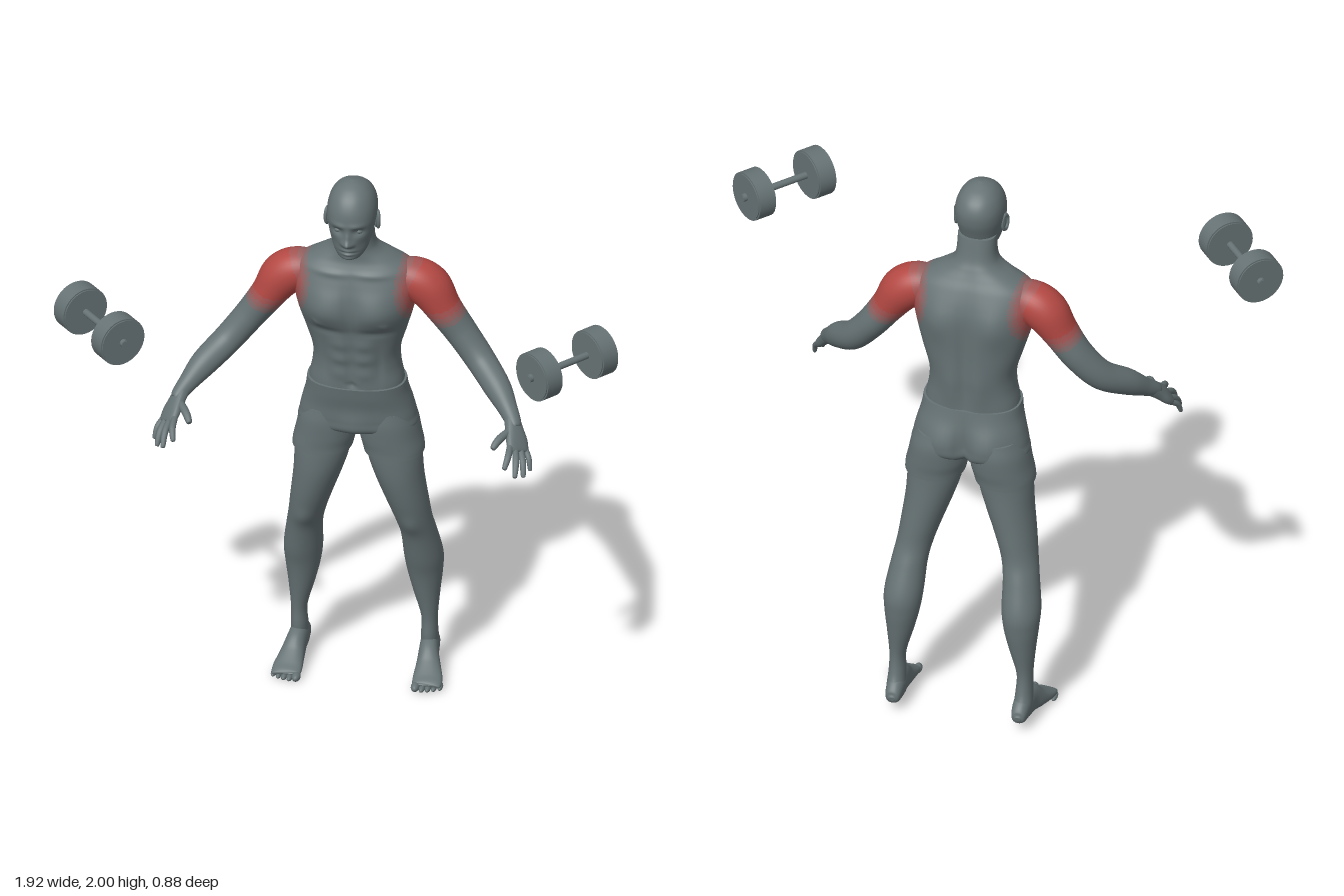
import * as THREE from 'three';

const V = (x, y, z) => new THREE.Vector3(x, y, z);
const BODY = 0x667274, RED = 0xb34843;
const paint = (name, t) => {
  const m = new THREE.MeshStandardMaterial({ color: new THREE.Color(BODY).lerp(new THREE.Color(RED), t).getHex() });
  m.name = name;
  return m;
};
const skin = paint('slate grey', 0);
// strongest red first, plain grey last
const tints = [paint('muscle red', 1), paint('soft red', 0.75), paint('dull red', 0.5), paint('faint red', 0.25), skin];

// Skin through rows [x, y, z, a, b]: a is the radius along ref, b the radius across it
function loft(rows, { n = 32, steps = 6, ref = V(0, 0, 1), flat = false, power = 2, mold } = {}) {
  const path = new THREE.CatmullRomCurve3(rows.map(r => V(r[0], r[1], r[2])), false, 'catmullrom', 0.5);
  const radii = new THREE.CatmullRomCurve3(rows.map(r => V(r[3], r[4], 0)), false, 'catmullrom', 0.5);
  const count = (rows.length - 1) * steps, pos = [], idx = [];
  const bend = c => Math.sign(c) * Math.abs(c) ** (2 / power);
  const up = V(0, Math.sign(rows[rows.length - 1][1] - rows[0][1]), 0);
  for (let i = 0; i <= count; i++) {
    const p = path.getPoint(i / count), r = radii.getPoint(i / count);
    const t = flat ? up : path.getTangent(i / count);
    const u = ref.clone().addScaledVector(t, -ref.dot(t)).normalize();
    const v = t.clone().cross(u);
    for (let j = 0; j < n; j++) {
      const a = j / n * Math.PI * 2;
      const q = p.clone().addScaledVector(u, r.x * bend(Math.cos(a))).addScaledVector(v, r.y * bend(Math.sin(a)));
      if (mold) mold(q, p, r);
      pos.push(q.x, q.y, q.z);
      if (i < count) {
        const A = i * n + j, B = i * n + (j + 1) % n;
        idx.push(A, B, A + n, B, B + n, A + n);
      }
    }
  }
  // separate cap rings keep the ends crisp
  for (const [ring, end] of [[0, false], [count, true]]) {
    const start = pos.length / 3, c = path.getPoint(end ? 1 : 0);
    for (let k = 0; k < n * 3; k++) pos.push(pos[ring * n * 3 + k]);
    pos.push(c.x, c.y, c.z);
    for (let j = 0; j < n; j++) {
      const A = start + j, B = start + (j + 1) % n;
      idx.push(start + n, ...(end ? [A, B] : [B, A]));
    }
  }
  const g = new THREE.BufferGeometry();
  g.setAttribute('position', new THREE.Float32BufferAttribute(pos, 3));
  g.setIndex(idx);
  g.computeVertexNormals();
  return g;
}

// Level rows [y, centre x, half width, front z, back z]
const level = (rows, opt) =>
  loft(rows.map(([y, x, w, f, b]) => [x, y, (f + b) / 2, (f - b) / 2, w]), { flat: true, ...opt });

// Push front (+1) or back (-1) surface along z with soft bumps [side, x, y, rx, ry, amount], mirrored in x
const bumps = list => (q, p, r) => {
  const facing = (q.z - p.z) / r.x;
  let dz = 0;
  for (const [side, x, y, rx, ry, d] of list)
    dz += d * Math.max(0, Math.min(1, facing * side * 2)) *
      Math.exp(-(((Math.abs(q.x) - x) / rx) ** 2) - ((q.y - y) / ry) ** 2);
  q.z += dz;
};

// Sort faces into colour groups by distance from the shoulder
function tint(g) {
  const P = g.attributes.position, I = g.index.array, bins = tints.map(() => []);
  for (let k = 0; k < I.length; k += 3) {
    const c = V(0, 0, 0);
    for (let j = 0; j < 3; j++) c.add(V(Math.abs(P.getX(I[k + j])), P.getY(I[k + j]), P.getZ(I[k + j])));
    c.divideScalar(3);
    const d = Math.hypot((c.x - 0.27) / 0.13, (c.y - 1.58) / 0.125, (c.z + 0.19) / 0.17);
    const b = [0.75, 0.9, 1.03, 1.16].findIndex(l => d < l);
    bins[b < 0 ? 4 : b].push(I[k], I[k + 1], I[k + 2]);
  }
  g.setIndex(bins.flat());
  let start = 0;
  bins.forEach((b, i) => { g.addGroup(start, b.length, i); start += b.length; });
  return g;
}

function mirrored(g) {
  const m = g.clone().scale(-1, 1, 1), I = m.index.array;
  for (let k = 0; k < I.length; k += 3) [I[k], I[k + 1]] = [I[k + 1], I[k]];
  return m;
}

const ball = (x, y, z, rx, ry, rz) => new THREE.SphereGeometry(1, 16, 12).scale(rx, ry, rz).translate(x, y, z);

export function createModel() {
  const model = new THREE.Group();
  const add = (name, g, mat = skin, to = model) => {
    const m = new THREE.Mesh(g, mat);
    m.name = name;
    to.add(m);
    return m;
  };
  const pair = (name, g, mat) => {
    add('left ' + name, g, mat);
    add('right ' + name, mirrored(g), mat);
  };

  // torso and neck
  add('torso', tint(level([
    [1.15, 0, 0.162, -0.105, -0.315], [1.2, 0, 0.16, -0.102, -0.313], [1.26, 0, 0.149, -0.1, -0.315],
    [1.32, 0, 0.149, -0.092, -0.32], [1.4, 0, 0.172, -0.08, -0.322], [1.48, 0, 0.195, -0.06, -0.322],
    [1.55, 0, 0.21, -0.058, -0.318], [1.6, 0, 0.215, -0.068, -0.305], [1.65, 0, 0.195, -0.085, -0.283],
    [1.685, 0, 0.14, -0.1, -0.262], [1.715, 0, 0.09, -0.102, -0.245], [1.75, 0, 0.07, -0.1, -0.228],
    [1.82, 0, 0.066, -0.095, -0.21],
  ], { n: 72, steps: 8, power: 2.35, mold: bumps([
    [1, 0.09, 1.51, 0.075, 0.065, 0.024], [1, 0, 1.52, 0.014, 0.09, -0.01], [1, 0.08, 1.425, 0.06, 0.014, -0.007],
    [1, 0.115, 1.46, 0.01, 0.01, 0.008], [1, 0, 1.3, 0.01, 0.1, -0.007], [1, 0.09, 1.29, 0.012, 0.08, -0.006],
    [1, 0.04, 1.37, 0.03, 0.024, 0.007], [1, 0.04, 1.31, 0.03, 0.022, 0.007], [1, 0.04, 1.25, 0.03, 0.025, 0.006],
    [1, 0, 1.205, 0.008, 0.01, -0.01], [1, 0.07, 1.645, 0.06, 0.01, 0.006],
    [-1, 0, 1.42, 0.022, 0.2, 0.018], [-1, 0.1, 1.53, 0.05, 0.07, -0.014], [-1, 0.05, 1.27, 0.03, 0.08, -0.007],
  ]) })), tints);

  // head with brow, sockets, nose, lips and chin
  add('head', level([
    [1.733, 0, 0.022, -0.04, -0.09], [1.742, 0, 0.04, -0.027, -0.12], [1.765, 0, 0.057, -0.02, -0.16],
    [1.8, 0, 0.069, -0.014, -0.19], [1.84, 0, 0.078, -0.01, -0.207], [1.88, 0, 0.084, -0.008, -0.22],
    [1.92, 0, 0.082, -0.015, -0.222], [1.955, 0, 0.07, -0.033, -0.207], [1.98, 0, 0.05, -0.06, -0.178],
    [1.994, 0, 0.026, -0.088, -0.145], [2, 0, 0.004, -0.112, -0.12],
  ], { n: 80, steps: 8, power: 2.2, mold: bumps([
    [1, 0, 1.808, 0.013, 0.013, 0.024], [1, 0, 1.83, 0.009, 0.022, 0.012], [1, 0.015, 1.804, 0.008, 0.008, 0.008],
    [1, 0.035, 1.85, 0.02, 0.014, -0.013], [1, 0.03, 1.874, 0.025, 0.009, 0.005],
    [1, 0, 1.778, 0.022, 0.006, 0.008], [1, 0, 1.763, 0.02, 0.006, 0.007], [1, 0, 1.77, 0.026, 0.003, -0.006],
    [1, 0, 1.745, 0.02, 0.01, 0.006], [1, 0.05, 1.8, 0.016, 0.025, -0.005],
  ]) }));
  pair('eye', ball(0.035, 1.849, -0.037, 0.014, 0.01, 0.012));
  const ear = new THREE.TorusGeometry(0.02, 0.006, 8, 20).scale(0.8, 1.4, 1).rotateY(Math.PI / 2 + 0.35);
  pair('ear rim', ear.translate(0.086, 1.853, -0.12));
  pair('ear bowl', ball(0.081, 1.85, -0.115, 0.007, 0.026, 0.014));

  // shorts: seat and two leg tubes, with a small lip over the skin
  add('shorts seat', level([
    [1.192, 0, 0.168, -0.094, -0.32], [1.15, 0, 0.174, -0.102, -0.328], [1.1, 0, 0.187, -0.114, -0.338],
    [1.05, 0, 0.198, -0.12, -0.343], [1.01, 0, 0.198, -0.13, -0.34], [0.982, 0, 0.12, -0.18, -0.3],
  ], { n: 64, steps: 8, power: 2.4, mold: bumps([
    [-1, 0.085, 1.06, 0.06, 0.07, -0.02], [-1, 0, 1.04, 0.016, 0.08, 0.025], [1, 0, 1.03, 0.04, 0.05, 0.01],
  ]) }));
  pair('shorts leg', level([
    [1.08, 0.1, 0.08, -0.13, -0.345], [1.03, 0.102, 0.098, -0.126, -0.355], [0.97, 0.109, 0.104, -0.13, -0.352],
    [0.93, 0.118, 0.104, -0.134, -0.346], [0.905, 0.122, 0.102, -0.135, -0.344],
  ], { n: 40, power: 2.15 }));

  // legs
  pair('leg', level([
    [0.96, 0.115, 0.093, -0.143, -0.338], [0.88, 0.125, 0.092, -0.143, -0.337], [0.8, 0.14, 0.082, -0.15, -0.34],
    [0.7, 0.164, 0.07, -0.172, -0.345], [0.62, 0.182, 0.062, -0.2, -0.352], [0.55, 0.195, 0.061, -0.228, -0.378],
    [0.45, 0.205, 0.066, -0.257, -0.415], [0.38, 0.208, 0.06, -0.28, -0.416], [0.3, 0.213, 0.046, -0.298, -0.405],
    [0.2, 0.222, 0.028, -0.315, -0.39], [0.13, 0.222, 0.029, -0.314, -0.4], [0.08, 0.222, 0.031, -0.32, -0.425],
    [0.045, 0.222, 0.026, -0.33, -0.425],
  ], { n: 40, mold: bumps([[1, 0.182, 0.62, 0.03, 0.035, 0.008]]) }));

  // feet and toes
  pair('foot', loft([
    [0.22, 0.058, -0.439, 0.008, 0.01], [0.22, 0.06, -0.425, 0.028, 0.025], [0.221, 0.072, -0.375, 0.05, 0.032],
    [0.225, 0.069, -0.32, 0.052, 0.034], [0.232, 0.046, -0.27, 0.037, 0.042], [0.238, 0.029, -0.22, 0.022, 0.05],
    [0.24, 0.021, -0.188, 0.014, 0.049], [0.24, 0.018, -0.178, 0.006, 0.042],
  ], { ref: V(0, 1, 0), power: 2.3 }));
  for (let i = 0; i < 5; i++) {
    const r = i ? 0.0115 - i * 0.0006 : 0.015;
    pair('toe ' + (i + 1), ball(0.203 + i * 0.0195 + (i ? 0.003 : 0), r, -0.178 - i * i * 0.0016, r, r, 0.026));
  }

  // arms
  pair('arm', tint(loft([
    [0.14, 1.605, -0.185, 0.06, 0.05], [0.195, 1.6, -0.188, 0.074, 0.07], [0.25, 1.565, -0.19, 0.077, 0.075],
    [0.3, 1.49, -0.187, 0.068, 0.06], [0.36, 1.405, -0.184, 0.06, 0.053], [0.43, 1.32, -0.155, 0.052, 0.05],
    [0.5, 1.258, -0.085, 0.045, 0.046], [0.545, 1.21, -0.03, 0.032, 0.033], [0.57, 1.182, 0.006, 0.026, 0.026],
    [0.578, 1.17, 0.018, 0.024, 0.02],
  ], { n: 40, steps: 10 })), tints);

  // hands: palm, four fingers spread along its width, thumb
  const across = V(0.675, -0.38, -0.63);
  pair('palm', loft([
    [0.56, 1.193, -0.01, 0.026, 0.024], [0.575, 1.165, 0.022, 0.034, 0.021], [0.588, 1.138, 0.05, 0.043, 0.019],
    [0.597, 1.115, 0.075, 0.042, 0.014], [0.599, 1.11, 0.08, 0.036, 0.007],
  ], { n: 24, ref: across, power: 2.4 }));
  const digit = (name, a, b, c, r) => pair(name, loft([
    [...a, r, r], [...b, r * 1.02, r * 1.02], [...c, r * 0.75, r * 0.75],
    [...c.map((k, i) => k + (k - b[i]) * 0.12), r * 0.15, r * 0.15],
  ], { n: 12, ref: across }));
  const tips = [[0.565, 1.09, 0.16], [0.6, 1.062, 0.158], [0.624, 1.05, 0.13], [0.64, 1.052, 0.088]];
  tips.forEach((tip, i) => {
    const base = V(0.594, 1.122, 0.067).addScaledVector(across, -0.033 + i * 0.022);
    const mid = base.clone().lerp(V(...tip), 0.55).add(V(0.004, 0.008, 0.004));
    digit('finger ' + (i + 1), base.toArray(), mid.toArray(), tip, i === 3 ? 0.0095 : 0.011);
  });
  digit('thumb', [0.567, 1.168, 0.03], [0.535, 1.157, 0.083], [0.518, 1.138, 0.113], 0.0135);

  // dumbbells floating ahead of each hand
  for (const s of [1, -1]) {
    const bell = new THREE.Group();
    bell.name = (s > 0 ? 'left' : 'right') + ' dumbbell';
    const rod = (name, r, h, y) => add(name, new THREE.CylinderGeometry(r, r, h, 40).translate(0, y, 0), skin, bell);
    rod('bar', 0.012, 0.34, 0);
    for (const e of [1, -1]) {
      rod('weight', 0.086, 0.062, e * 0.12);
      rod('weight rim', 0.081, 0.07, e * 0.12);
      rod('end cap', 0.014, 0.014, e * 0.161);
    }
    bell.quaternion.setFromUnitVectors(V(0, 1, 0), V(-s * 0.66, 0, 0.75).normalize());
    bell.position.set(s * 0.798, 1.585, 0.27);
    model.add(bell);
  }
  return model;
}
